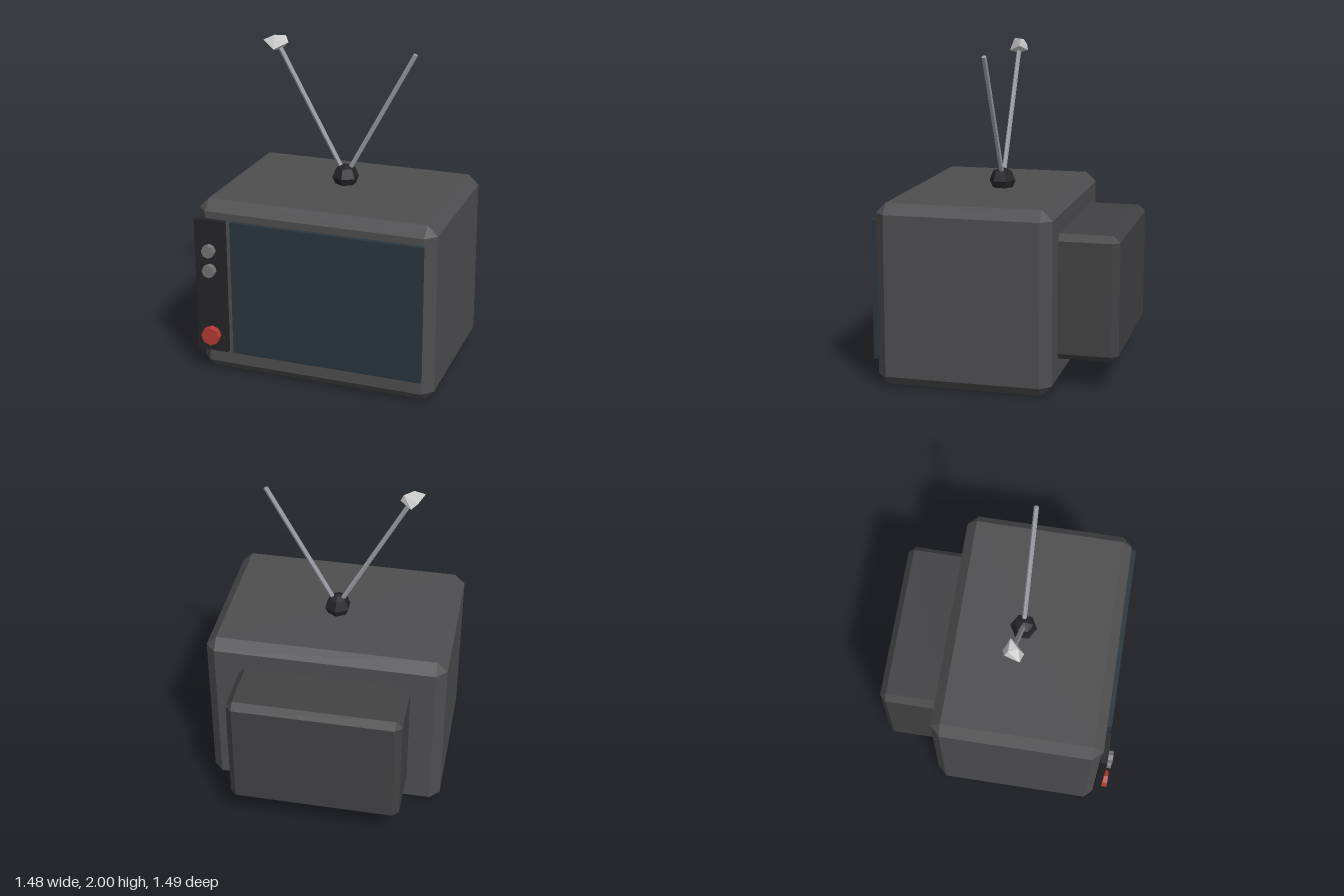
import * as THREE from 'three';
import { ConvexGeometry } from 'three/addons/geometries/ConvexGeometry.js';

const mat = (color) => new THREE.MeshStandardMaterial({ color, flatShading: true });

// Box between two corners with all edges cut at 45 degrees
function chamferBox(min, max, cut) {
  const pts = [];
  for (let i = 0; i < 8; i++) {
    const bits = [i & 1, (i >> 1) & 1, (i >> 2) & 1];
    for (let outer = 0; outer < 3; outer++) {
      const p = bits.map((b, a) => {
        const inset = a === outer ? 0 : cut;
        return b ? max[a] - inset : min[a] + inset;
      });
      pts.push(new THREE.Vector3(...p));
    }
  }
  return new ConvexGeometry(pts);
}

// Plain box between two corners
function boxBetween(min, max) {
  const size = max.map((m, a) => m - min[a]);
  const mid = max.map((m, a) => (m + min[a]) / 2);
  return new THREE.BoxGeometry(...size).translate(...mid);
}

export function createModel() {
  const group = new THREE.Group();
  const add = (name, geometry, material) => {
    const mesh = new THREE.Mesh(geometry, material);
    mesh.name = name;
    group.add(mesh);
    return mesh;
  };

  const shell = mat(0x4e4e50);
  const backShell = mat(0x424244);
  const glass = mat(0x2a363d);
  const black = mat(0x252529);
  const knobGrey = mat(0x747474);
  const red = mat(0xb53a32);
  const steel = mat(0x9a9ca2);
  const foil = mat(0xcccccc);

  // Cabinet and tube housing
  add('cabinet', chamferBox([-0.74, 0, -0.385], [0.74, 1.105, 0.675], 0.062), shell);
  add('tubeHousing', chamferBox([-0.53, 0.175, -0.745], [0.53, 0.935, -0.3], 0.04), backShell);

  // Screen and control panel
  add('screen', boxBetween([-0.507, 0.15, 0.65], [0.68, 1, 0.705]), glass);
  add('controlPanel', boxBetween([-0.737, 0.15, 0.665], [-0.543, 1, 0.707]), black);

  // Knobs
  const knob = (name, y, radius, front, material) => {
    const depth = front - 0.69;
    const g = new THREE.CylinderGeometry(radius, radius, depth, 8)
      .rotateX(Math.PI / 2).translate(-0.64, y, 0.69 + depth / 2);
    add(name, g, material);
  };
  knob('upperKnob', 0.81, 0.041, 0.743, knobGrey);
  knob('lowerKnob', 0.683, 0.041, 0.743, knobGrey);
  knob('powerKnob', 0.257, 0.058, 0.748, red);

  // Antenna base
  const ball = new THREE.SphereGeometry(0.083, 6, 4).rotateY(Math.PI / 6).translate(0, 1.148, 0.082);
  add('antennaBase', ball, black);

  // Antenna rods
  const rod = (name, x, y) => {
    const a = new THREE.Vector3(0, 1.15, 0.08);
    const b = new THREE.Vector3(x, y, 0.08);
    const dir = b.clone().sub(a);
    const mesh = add(name, new THREE.CylinderGeometry(0.015, 0.015, dir.length(), 6), steel);
    mesh.position.copy(a).add(b).multiplyScalar(0.5);
    mesh.quaternion.setFromUnitVectors(new THREE.Vector3(0, 1, 0), dir.normalize());
  };
  rod('leftRod', 0.435, 1.945);
  rod('rightRod', -0.43, 1.94);

  // Crumpled foil on the right rod
  const foilPoints = [
    [-0.51, 1.975, 0.13], [-0.445, 2, 0.115], [-0.39, 1.997, 0.06], [-0.372, 1.955, 0.065],
    [-0.44, 1.922, 0.145], [-0.44, 1.925, 0.025], [-0.478, 1.96, 0.04], [-0.415, 1.912, 0.07],
    [-0.452, 1.905, 0.09], [-0.465, 1.993, 0.06],
  ].map((p) => new THREE.Vector3(...p));
  add('foil', new ConvexGeometry(foilPoints), foil);

  return group;
}
